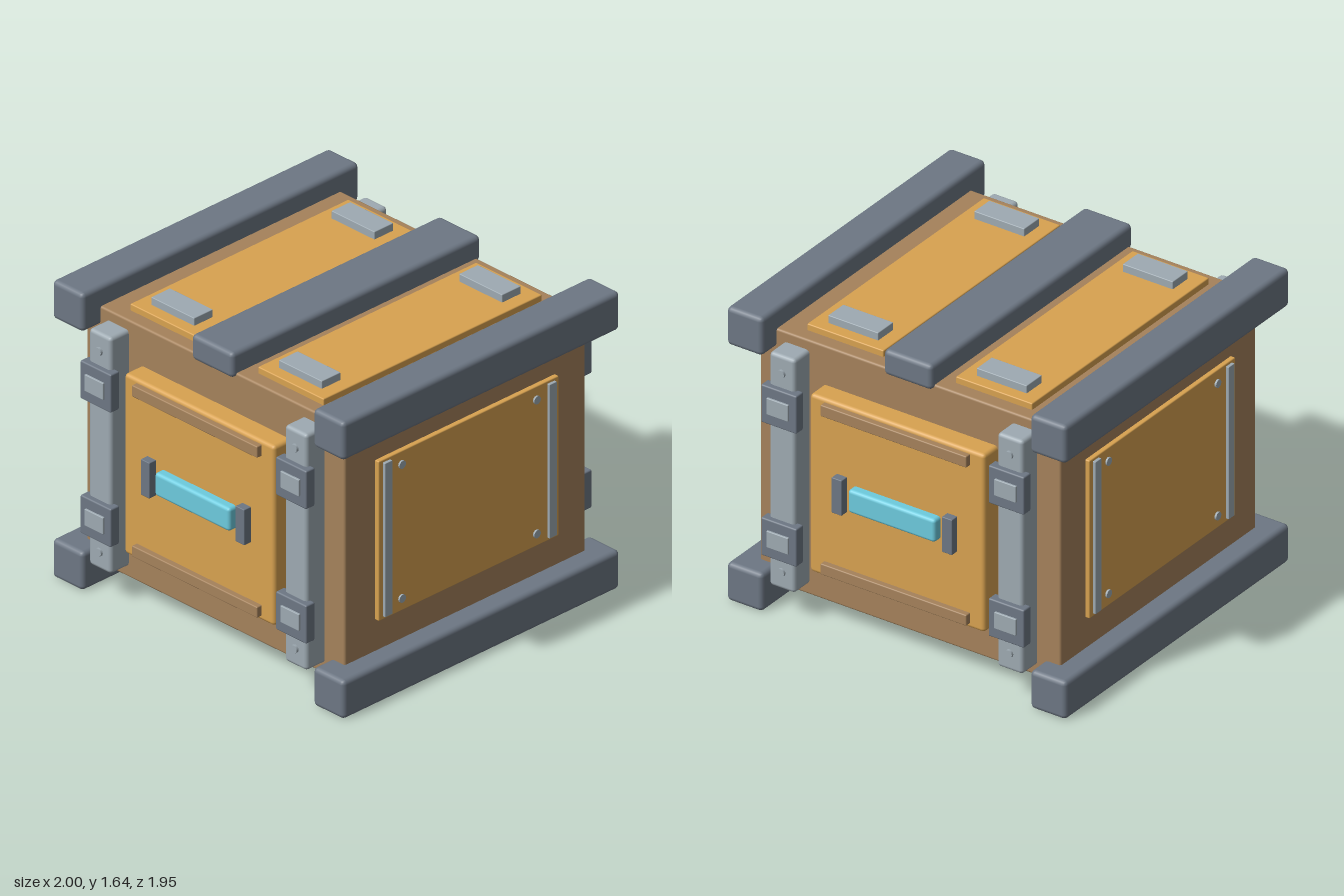
import * as THREE from 'three';
import { RoundedBoxGeometry } from 'three/addons/geometries/RoundedBoxGeometry.js';

const mat = (color) => new THREE.MeshStandardMaterial({ color });
const brown = mat(0xa5825b), amber = mat(0xd8a250), darkGrey = mat(0x6d7784);
const lightGrey = mat(0x9eaab2), cyan = mat(0x6dcbde);

// Box given by its limits on each axis; r is the edge rounding
function box(parent, name, material, [x0, x1], [y0, y1], [z0, z1], r = 0) {
  const w = x1 - x0, h = y1 - y0, d = z1 - z0;
  const geo = r ? new RoundedBoxGeometry(w, h, d, 2, r) : new THREE.BoxGeometry(w, h, d);
  const mesh = new THREE.Mesh(geo, material);
  mesh.name = name;
  mesh.position.set((x0 + x1) / 2, (y0 + y1) / 2, (z0 + z1) / 2);
  parent.add(mesh);
}

// Bolt head with its axis along z, ending at z1
function bolt(parent, name, x, y, z0, z1) {
  const geo = new THREE.CylinderGeometry(0.022, 0.022, z1 - z0, 12).rotateX(Math.PI / 2);
  const mesh = new THREE.Mesh(geo, lightGrey);
  mesh.name = name;
  mesh.position.set(x, y, (z0 + z1) / 2);
  parent.add(mesh);
}

// Limits a..b on the side s (+1 or -1)
const span = (s, a, b) => (s > 0 ? [a, b] : [-b, -a]);

// End face with panel, handle and two strapped posts, facing +z
function endFace(name) {
  const g = new THREE.Group();
  g.name = name;
  box(g, 'endPanel', amber, [-0.515, 0.515], [0.32, 1.31], [0.78, 0.925], 0.02);
  box(g, 'lowerSlat', brown, [-0.43, 0.43], [0.347, 0.407], [0.9, 0.957], 0.006);
  box(g, 'upperSlat', brown, [-0.43, 0.43], [1.227, 1.29], [0.9, 0.957], 0.006);
  box(g, 'handle', cyan, [-0.257, 0.257], [0.757, 0.885], [0.9, 0.975], 0.018);
  for (const s of [1, -1]) {
    box(g, 'handleBracket', darkGrey, span(s, 0.295, 0.355), [0.722, 0.918], [0.9, 0.97], 0.004);
    box(g, 'post', lightGrey, span(s, 0.595, 0.747), [0.17, 1.47], [0.78, 0.935], 0.02);
    for (const y of [0.448, 1.188]) {
      box(g, 'clamp', darkGrey, span(s, 0.565, 0.775), [y - 0.105, y + 0.105], [0.905, 0.965], 0.008);
      box(g, 'buckle', lightGrey, span(s, 0.607, 0.735), [y - 0.045, y + 0.047], [0.94, 0.976], 0.004);
    }
    for (const y of [0.268, 1.373]) bolt(g, 'postBolt', s * 0.671, y, 0.92, 0.948);
  }
  return g;
}

// Side face with bolted panel, modelled facing +z
function sideFace(name) {
  const g = new THREE.Group();
  g.name = name;
  box(g, 'sidePanel', amber, [-0.608, 0.608], [0.383, 1.262], [0.86, 0.91], 0.006);
  for (const s of [1, -1]) {
    box(g, 'sideStrip', lightGrey, span(s, 0.53, 0.58), [0.4, 1.247], [0.89, 0.926], 0.003);
    for (const y of [0.453, 1.19]) bolt(g, 'sideBolt', s * 0.455, y, 0.89, 0.92);
  }
  return g;
}

export function createModel() {
  const crate = new THREE.Group();
  crate.name = 'crate';
  box(crate, 'body', brown, [-0.885, 0.885], [0.11, 1.525], [-0.813, 0.813], 0.012);

  // Long rails along the four edges and the middle of the lid
  for (const s of [1, -1]) {
    box(crate, 'bottomRail', darkGrey, span(s, 0.788, 1), [0, 0.212], [-0.935, 0.935], 0.025);
    box(crate, 'topRail', darkGrey, span(s, 0.788, 1), [1.423, 1.635], [-0.935, 0.935], 0.025);

    // Lid panels and their pads
    box(crate, 'lidPanel', amber, span(s, 0.213, 0.663), [1.5, 1.56], [-0.737, 0.737], 0.006);
    for (const t of [1, -1])
      box(crate, 'lidPad', lightGrey, span(s, 0.29, 0.585), [1.54, 1.602], span(t, 0.545, 0.672), 0.004);
  }
  box(crate, 'centreRail', darkGrey, [-0.142, 0.142], [1.5, 1.64], [-0.84, 0.84], 0.025);

  // Matching faces on opposite sides
  const front = endFace('frontFace'), back = endFace('backFace');
  back.rotation.y = Math.PI;
  const left = sideFace('leftFace'), right = sideFace('rightFace');
  left.rotation.y = Math.PI / 2;
  right.rotation.y = -Math.PI / 2;
  crate.add(front, back, left, right);
  return crate;
}
